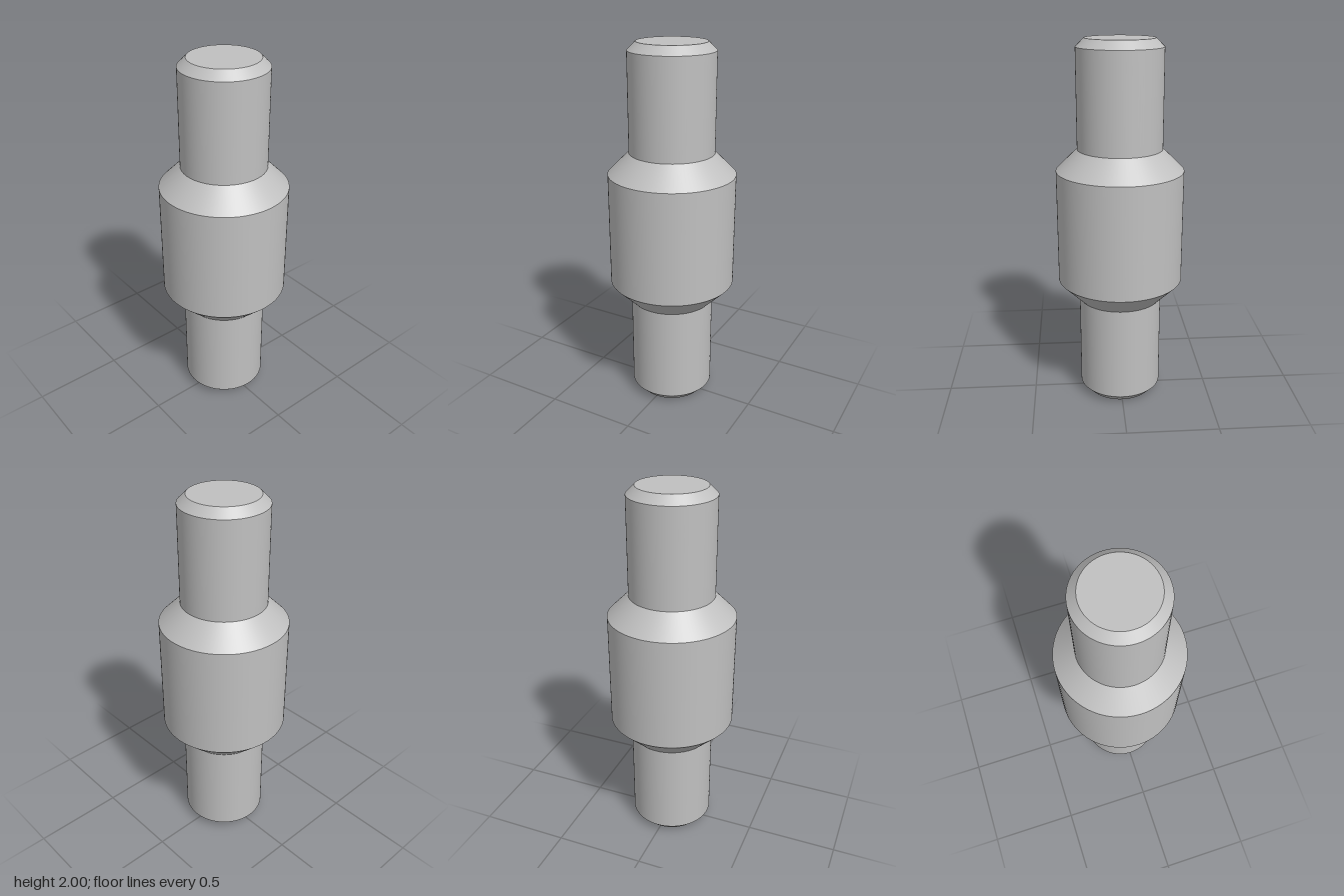
import * as THREE from 'three';

const SIDES = 96;
const TIP = 0.184, SHAFT = 0.229, BODY = 0.344;

export function createModel() {
  const model = new THREE.Group();
  model.name = 'steppedPin';
  const steel = new THREE.MeshStandardMaterial({ color: 0xc0c0c0 });
  steel.name = 'steel grey';

  const add = (name, geometry, y) => {
    const mesh = new THREE.Mesh(geometry, steel);
    mesh.name = name;
    mesh.position.y = y;
    model.add(mesh);
    return mesh;
  };

  // Open bands stacked from the bottom up: name, y and radius at each end
  const bands = [
    ['bottomChamfer', 0, TIP, 0.046, SHAFT],
    ['lowerShaft', 0.046, SHAFT, 0.578, SHAFT],
    ['lowerShoulder', 0.578, SHAFT, 0.693, BODY],
    ['body', 0.693, BODY, 1.315, BODY],
    ['upperShoulder', 1.315, BODY, 1.43, SHAFT],
    ['upperShaft', 1.43, SHAFT, 1.956, SHAFT],
    ['topChamfer', 1.956, SHAFT, 2, TIP],
  ];
  for (const [name, y0, r0, y1, r1] of bands) {
    add(name, new THREE.CylinderGeometry(r1, r0, y1 - y0, SIDES, 1, true), (y0 + y1) / 2);
  }

  // Flat end faces, turned to match the band's corners
  const endFace = (turn) => new THREE.CircleGeometry(TIP, SIDES).rotateX(turn);
  add('topFace', endFace(-Math.PI / 2), 2);
  add('bottomFace', endFace(Math.PI / 2), 0);

  return model;
}
